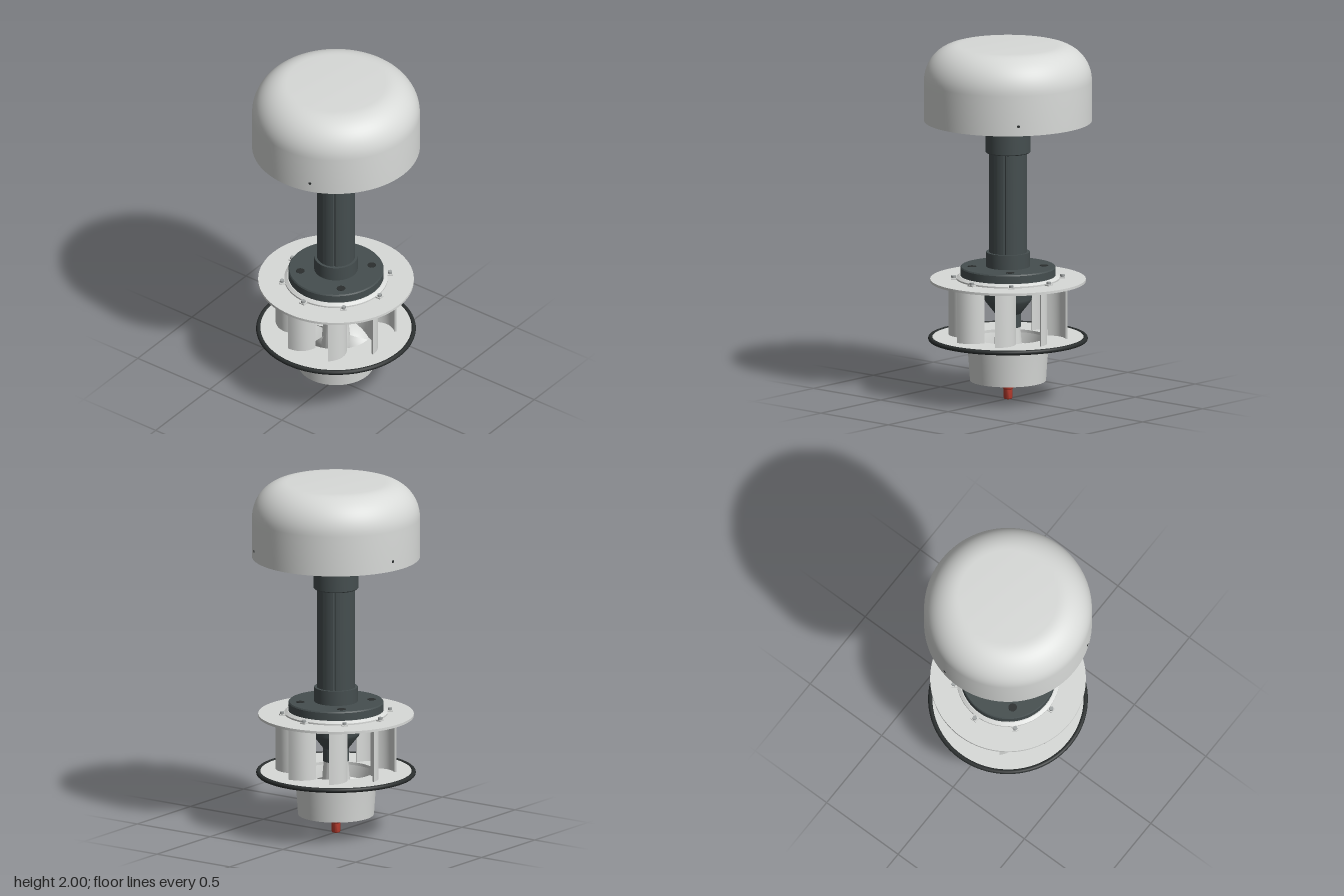
import * as THREE from 'three';
import { toCreasedNormals } from 'three/addons/utils/BufferGeometryUtils.js';

const mat = (name, color) => {
  const m = new THREE.MeshStandardMaterial({ color, side: THREE.DoubleSide });
  m.name = name;
  return m;
};

export function createModel() {
  const shell = mat('light grey shell', 0xd8dad8);
  const dark = mat('dark slate metal', 0x454e4f);
  const rubber = mat('black rubber', 0x2b2f2f);
  const steel = mat('steel', 0xa4a8a8);
  const red = mat('red tip', 0xb83c2e);

  const model = new THREE.Group();
  model.name = 'hydroTurbine';
  const group = (name) => {
    const g = new THREE.Group();
    g.name = name;
    model.add(g);
    return g;
  };
  const add = (name, geo, material, parent = model) => {
    const mesh = new THREE.Mesh(geo, material);
    mesh.name = name;
    parent.add(mesh);
    return mesh;
  };
  // Revolved profile of [radius, height], listed bottom, outside, top
  const lathe = (name, pts, material, parent, sides = 64) =>
    add(name, toCreasedNormals(new THREE.LatheGeometry(
      pts.map(([r, y]) => new THREE.Vector2(r, y)), sides), 0.6), material, parent);
  const disc = (name, r, y0, y1, material, parent, sides) =>
    lathe(name, [[0, y0], [r, y0], [r, y1], [0, y1]], material, parent, sides);
  // Place a mesh on a circle, angle measured from the front toward +x
  const onCircle = (mesh, r, y, angle) =>
    mesh.position.set(r * Math.sin(angle), y, r * Math.cos(angle));

  // Generator dome with rounded shoulder and recessed floor
  const generator = group('generator');
  const dome = [[0.457, 1.59], [0.457, 1.575], [0.466, 1.575]];
  for (let i = 0; i <= 14; i++) {
    const a = (i / 14) * Math.PI / 2;
    dome.push([0.276 + 0.19 * Math.cos(a), 1.8 + 0.2 * Math.sin(a)]);
  }
  dome.push([0, 2]);
  lathe('dome', dome, shell, generator, 96);
  disc('domeFloor', 0.458, 1.582, 1.592, shell, generator);
  for (let i = 0; i < 3; i++) {
    const a = THREE.MathUtils.degToRad(48.8 + i * 120);
    const hole = add('domeScrewHole', new THREE.CylinderGeometry(0.008, 0.008, 0.006, 12).rotateX(Math.PI / 2), rubber, generator);
    onCircle(hole, 0.465, 1.63, a);
    hole.rotation.y = a;
  }
  for (let i = 0; i < 6; i++) {
    const screw = add('floorScrew', new THREE.CylinderGeometry(0.006, 0.006, 0.006, 10), rubber, generator);
    onCircle(screw, 0.24, 1.58, (i + 0.5) * Math.PI / 3);
  }

  // Column: octagonal neck, collars and a grooved pipe
  const column = group('column');
  const neck = add('octagonalNeck', new THREE.CylinderGeometry(0.138, 0.138, 0.04, 8).toNonIndexed(), dark, column);
  neck.geometry.computeVertexNormals();
  neck.position.y = 1.562;
  neck.rotation.y = Math.PI / 8;
  lathe('upperCollar', [[0.1, 1.395], [0.122, 1.395], [0.126, 1.4], [0.126, 1.545], [0, 1.545]], dark, column);
  const section = new THREE.Shape();
  for (let i = 0; i < 144; i++) {
    const a = (i / 144) * Math.PI * 2;
    const r = i % 36 === 12 || i % 36 === 13 ? 0.098 : 0.106;
    section[i ? 'lineTo' : 'moveTo'](r * Math.cos(a), r * Math.sin(a));
  }
  section.closePath();
  const pipe = new THREE.ExtrudeGeometry(section, { depth: 0.62, bevelEnabled: false }).rotateX(-Math.PI / 2);
  add('pipe', toCreasedNormals(pipe, 0.6), dark, column).position.y = 0.8;
  disc('lowerCollar', 0.121, 0.74, 0.832, dark, column);
  lathe('flange', [[0, 0.7], [0.265, 0.7], [0.265, 0.743], [0.26, 0.75], [0, 0.75]], dark, column);
  for (let i = 0; i < 4; i++) {
    const hole = add('flangeHole', new THREE.CylinderGeometry(0.024, 0.024, 0.004, 20), rubber, column);
    onCircle(hole, 0.2, 0.75, Math.PI / 4 + i * Math.PI / 2);
  }

  // Guide vane cage: two plates and eight curved vanes
  const cage = group('guideVaneCage');
  disc('upperPlate', 0.432, 0.665, 0.679, shell, cage, 80);
  lathe('clampRing', [[0.2, 0.679], [0.287, 0.679], [0.287, 0.688], [0.27, 0.7], [0.2, 0.7]], shell, cage);
  lathe('lowerPlate', [[0.215, 0.335], [0.43, 0.335], [0.43, 0.351], [0.215, 0.351], [0.215, 0.335]], shell, cage, 80);
  const ring = add('rubberRing', new THREE.TorusGeometry(0.43, 0.0135, 12, 80).rotateX(Math.PI / 2), rubber, cage);
  ring.position.y = 0.343;

  const vaneShape = new THREE.Shape();
  vaneShape.moveTo(-0.09, -0.325);
  vaneShape.quadraticCurveTo(0.007, -0.324, 0.03, -0.23);
  vaneShape.lineTo(0.02, -0.222);
  vaneShape.quadraticCurveTo(-0.002, -0.312, -0.088, -0.314);
  vaneShape.closePath();
  const vaneGeo = toCreasedNormals(new THREE.ExtrudeGeometry(vaneShape,
    { depth: 0.32, bevelEnabled: false, curveSegments: 10 }).rotateX(-Math.PI / 2), 0.6);
  for (let i = 0; i < 8; i++) {
    const a = i * Math.PI / 4;
    const vane = add('guideVane', vaneGeo, shell, cage);
    vane.position.y = 0.348;
    vane.rotation.y = a;
    const tab = add('clampTab', new THREE.BoxGeometry(0.035, 0.008, 0.05), shell, cage);
    onCircle(tab, 0.292, 0.683, a);
    tab.rotation.y = a;
    const bolt = add('clampBolt', new THREE.CylinderGeometry(0.013, 0.013, 0.016, 6), steel, cage);
    onCircle(bolt, 0.303, 0.692, a);
    const screw = add('plateScrew', new THREE.CylinderGeometry(0.006, 0.006, 0.005, 10), rubber, cage);
    onCircle(screw, 0.31, 0.335, a);
  }

  // Bearing housing hanging from the upper plate
  lathe('bearingHousing', [[0, 0.41], [0.073, 0.41], [0.073, 0.485], [0.128, 0.555], [0.132, 0.57], [0.132, 0.668], [0, 0.668]], dark);

  // Open draft tube below the lower plate
  lathe('draftTube', [[0.222, 0.351], [0.202, 0.25], [0.203, 0.105], [0.211, 0.105], [0.219, 0.22], [0.23, 0.337]], shell);

  // Runner: tapered hub, twisted blades and red nose
  const runner = group('runner');
  lathe('hub', [[0, 0.1], [0.045, 0.1], [0.058, 0.125], [0.075, 0.19], [0.082, 0.25], [0.075, 0.33], [0.068, 0.412], [0, 0.412]], shell, runner);
  const bladeGeo = new THREE.PlaneGeometry(1, 1, 8, 8);
  const p = bladeGeo.attributes.position;
  for (let i = 0; i < p.count; i++) {
    const u = p.getX(i) + 0.5, v = p.getY(i);
    const r = 0.06 + 0.138 * u;
    const a = v * (0.8 + 0.3 * u);
    p.setXYZ(i, r * Math.sin(a), 0.235 + v * (0.15 - 0.08 * u) + 0.02 * v * v, r * Math.cos(a));
  }
  bladeGeo.computeVertexNormals();
  for (let i = 0; i < 5; i++) {
    add('runnerBlade', bladeGeo, shell, runner).rotation.y = i * Math.PI * 2 / 5;
  }
  lathe('redNose', [[0, 0], [0.02, 0], [0.024, 0.006], [0.024, 0.055], [0.03, 0.06], [0.032, 0.075], [0.05, 0.095], [0.052, 0.108], [0, 0.108]], red, runner, 16);

  return model;
}
